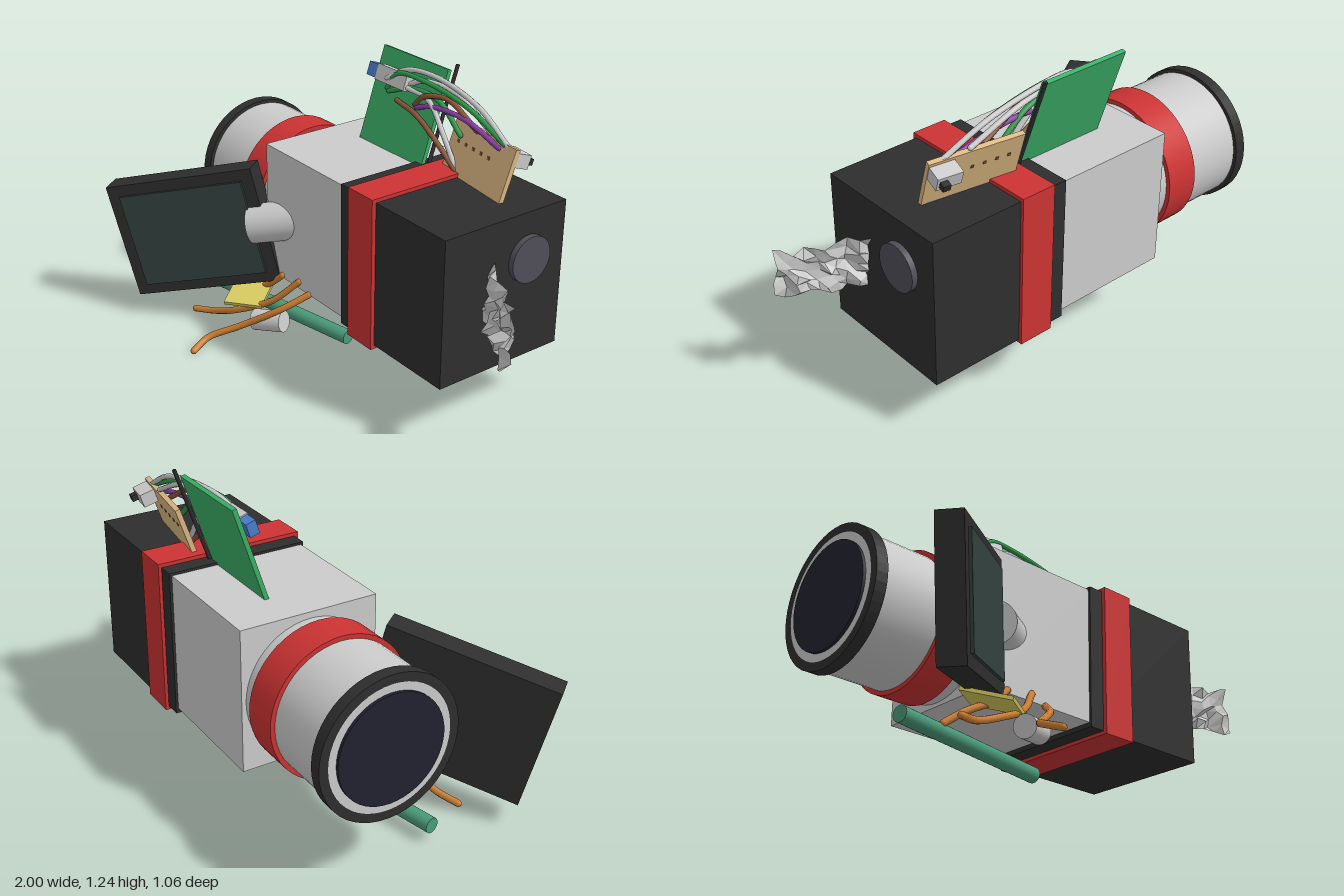
import * as THREE from 'three';

const V = (p) => new THREE.Vector3(...p);
const COLOR = {
  grey: 0xcccccc, dark: 0x2e2e2e, red: 0xcc3333, glass: 0x222230, eyepiece: 0x504e58,
  screen: 0x33423f, board: 0x3cb068, tan: 0xdeb983, blue: 0x4a7fd0, green: 0x2f9a4a,
  purple: 0x8e3fa8, brown: 0x8a5638, orange: 0xcd7f32, rod: 0x4a9a7a, yellow: 0xd8cc60,
};

export function createModel() {
  const model = new THREE.Group();

  const add = (name, geometry, color, parent = model, extra = {}) => {
    const mesh = new THREE.Mesh(geometry, new THREE.MeshStandardMaterial({ color: COLOR[color], ...extra }));
    mesh.name = name;
    parent.add(mesh);
    return mesh;
  };
  // Box given by its size and centre
  const box = (name, size, pos, color, parent) => {
    const m = add(name, new THREE.BoxGeometry(...size), color, parent);
    m.position.set(...pos);
    return m;
  };
  // Cylinder running from point a to point b
  const rod = (name, a, b, r, color, sides = 32) => {
    const p = V(a), q = V(b);
    const m = add(name, new THREE.CylinderGeometry(r, r, p.distanceTo(q), sides), color);
    m.position.copy(p).lerp(q, 0.5);
    m.quaternion.setFromUnitVectors(new THREE.Vector3(0, 1, 0), q.sub(p).normalize());
    return m;
  };
  // Bent wire with closed ends
  const wire = (name, points, r, color) => {
    const curve = new THREE.CatmullRomCurve3(points.map(V));
    add(name, new THREE.TubeGeometry(curve, 28, r, 8), color);
    for (const p of [points[0], points[points.length - 1]]) {
      add(name + 'End', new THREE.SphereGeometry(r, 8, 6), color).position.set(...p);
    }
  };
  const group = (name, pos, rot) => {
    const g = new THREE.Group();
    g.name = name;
    g.position.set(...pos);
    g.rotation.set(...rot, 'YXZ');
    model.add(g);
    return g;
  };

  // Camera body and tape band
  box('frontBody', [0.53, 0.57, 0.56], [-0.155, 0.565, -0.23], 'grey');
  box('rearBody', [0.6, 0.6, 0.58], [0.402, 0.56, -0.23], 'dark');
  box('bodyTape', [0.147, 0.63, 0.61], [0.242, 0.56, -0.228], 'red');

  // Lens barrel: [name, x start, x end, radius, colour]
  const lens = [
    ['lensBarrel', -0.922, -0.41, 0.265, 'grey'],
    ['lensTape', -0.62, -0.475, 0.283, 'red'],
    ['lensGlass', -0.934, -0.9, 0.213, 'glass'],
  ];
  for (const [name, x0, x1, r, color] of lens) {
    rod(name, [x0, 0.56, -0.228], [x1, 0.56, -0.228], r, color, 48);
  }
  const rim = [[0.245, -0.92], [0.28, -0.92], [0.28, -0.872], [0.26, -0.872]];
  const rimMesh = add('lensRim', new THREE.LatheGeometry(rim.flatMap(([r, x], i) =>
    (i === 1 || i === 2 ? [0, 0] : [0]).map(() => new THREE.Vector2(r, x - 0.004))), 48),
    'dark', model, { side: THREE.DoubleSide, flatShading: true });
  rimMesh.rotation.z = -Math.PI / 2;
  rimMesh.position.set(0, 0.56, -0.228);

  // Eyepiece
  rod('eyepiece', [0.69, 0.675, -0.34], [0.725, 0.675, -0.34], 0.093, 'eyepiece');

  // Flip-out screen and its hinge
  const flip = group('flipScreen', [-0.666, 0.428, 0.251], [0, 0.67, 0.242]);
  box('screenHousing', [0.667, 0.51, 0.1], [0, 0, 0], 'dark', flip);
  box('screenPanel', [0.56, 0.415, 0.03], [0, 0, 0.047], 'screen', flip);
  rod('screenHinge', [-0.443, 0.5, 0.114], [-0.25, 0.555, -0.04], 0.083, 'grey');

  // Crumpled foil at the back end
  const foil = new THREE.PlaneGeometry(0.33, 0.21, 9, 6);
  let seed = 7;
  const jitter = (s) => {
    seed = (seed * 16807) % 2147483647;
    return (seed / 2147483647 - 0.5) * s;
  };
  const fp = foil.attributes.position;
  for (let i = 0; i < fp.count; i++) {
    const x = fp.getX(i), y = fp.getY(i);
    fp.setXYZ(i, x + jitter(0.022), y - x * 0.06 + jitter(0.022),
      Math.sin(x * 55) * 0.015 - y * 0.12 + jitter(0.045));
  }
  foil.computeVertexNormals();
  const foilMesh = add('foil', foil, 'grey', model, { flatShading: true, side: THREE.DoubleSide });
  foilMesh.position.set(0.848, 0.58, -0.07);
  foilMesh.rotation.y = -0.48;

  // Green circuit board with its plug
  const board = group('circuitBoard', [-0.058, 1.02, -0.365], [-0.32, 0, 0]);
  box('boardPlate', [0.392, 0.42, 0.018], [0, 0, 0], 'board', board);
  box('plug', [0.18, 0.065, 0.045], [-0.05, 0.107, 0.04], 'grey', board);
  box('plugTip', [0.07, 0.055, 0.04], [-0.162, 0.107, 0.04], 'blue', board);

  // Antenna
  rod('antenna', [0.153, 0.83, -0.315], [0.153, 1.24, -0.457], 0.008, 'dark', 12);

  // Tan board with a socket behind it
  const tan = group('tanBoard', [0.4, 0.95, -0.36], [-0.32, -0.14, 0]);
  box('tanPlate', [0.385, 0.22, 0.02], [0, 0, 0], 'tan', tan);
  box('socket', [0.1, 0.055, 0.06], [0.14, 0.07, -0.04], 'grey', tan);
  box('socketPin', [0.03, 0.025, 0.03], [0.165, 0.07, -0.08], 'dark', tan);
  for (let i = 0; i < 5; i++) {
    box('solderPoint', [0.012, 0.012, 0.026], [-0.14 + i * 0.05, 0.03, 0], 'brown', tan);
  }

  // Wires between the two boards
  const loom = [
    ['grey', [[-0.13, 1.13, -0.34], [-0.05, 1.18, -0.37], [0.1, 1.19, -0.39], [0.35, 1.14, -0.39], [0.55, 1.04, -0.37]]],
    ['grey', [[-0.04, 1.12, -0.36], [0.05, 1.16, -0.38], [0.22, 1.15, -0.4], [0.43, 1.06, -0.39]]],
    ['grey', [[-0.03, 1.12, -0.35], [0.1, 1.1, -0.36], [0.2, 1.0, -0.35], [0.28, 0.88, -0.35]]],
    ['green', [[-0.13, 1.09, -0.34], [-0.08, 1.16, -0.35], [0.07, 1.17, -0.36], [0.32, 1.13, -0.37], [0.52, 1.05, -0.37]]],
    ['green', [[-0.12, 1.08, -0.34], [0, 1.12, -0.36], [0.15, 1.11, -0.37], [0.28, 1.01, -0.37]]],
    ['purple', [[0.03, 1.05, -0.36], [0.12, 1.08, -0.36], [0.3, 1.08, -0.37], [0.5, 1.03, -0.365]]],
    ['brown', [[-0.08, 1.05, -0.35], [0.05, 1.03, -0.34], [0.17, 0.97, -0.335], [0.29, 0.87, -0.345]]],
    ['brown', [[0.02, 1.06, -0.36], [0.08, 1.11, -0.35], [0.2, 1.13, -0.37], [0.36, 1.05, -0.38]]],
  ];
  loom.forEach(([color, pts]) => wire(color + 'Wire', pts, 0.0105, color));

  // Loose parts hanging below
  rod('greenRod', [-0.8, 0.065, 0.06], [-0.055, 0.065, -0.095], 0.031, 'rod');
  rod('capacitor', [-0.345, 0.11, 0.175], [-0.22, 0.135, 0.115], 0.045, 'grey');
  const card = group('yellowCard', [-0.455, 0.188, 0.125], [0.27, 0.62, 0.05]);
  box('cardPlate', [0.17, 0.015, 0.2], [0, 0, 0], 'yellow', card);
  const dangling = [
    [[-0.2, 0.31, 0.05], [-0.3, 0.2, 0.12], [-0.48, 0.1, 0.2], [-0.6, 0.05, 0.22], [-0.7, 0.03, 0.26]],
    [[-0.32, 0.29, 0.05], [-0.4, 0.22, 0.065], [-0.52, 0.15, 0.06], [-0.6, 0.09, 0.04]],
    [[-0.13, 0.28, 0.05], [-0.2, 0.21, 0.15], [-0.35, 0.1, 0.26], [-0.43, 0.045, 0.36], [-0.415, 0.015, 0.44]],
  ];
  dangling.forEach((pts) => wire('danglingWire', pts, 0.014, 'orange'));

  return model;
}
